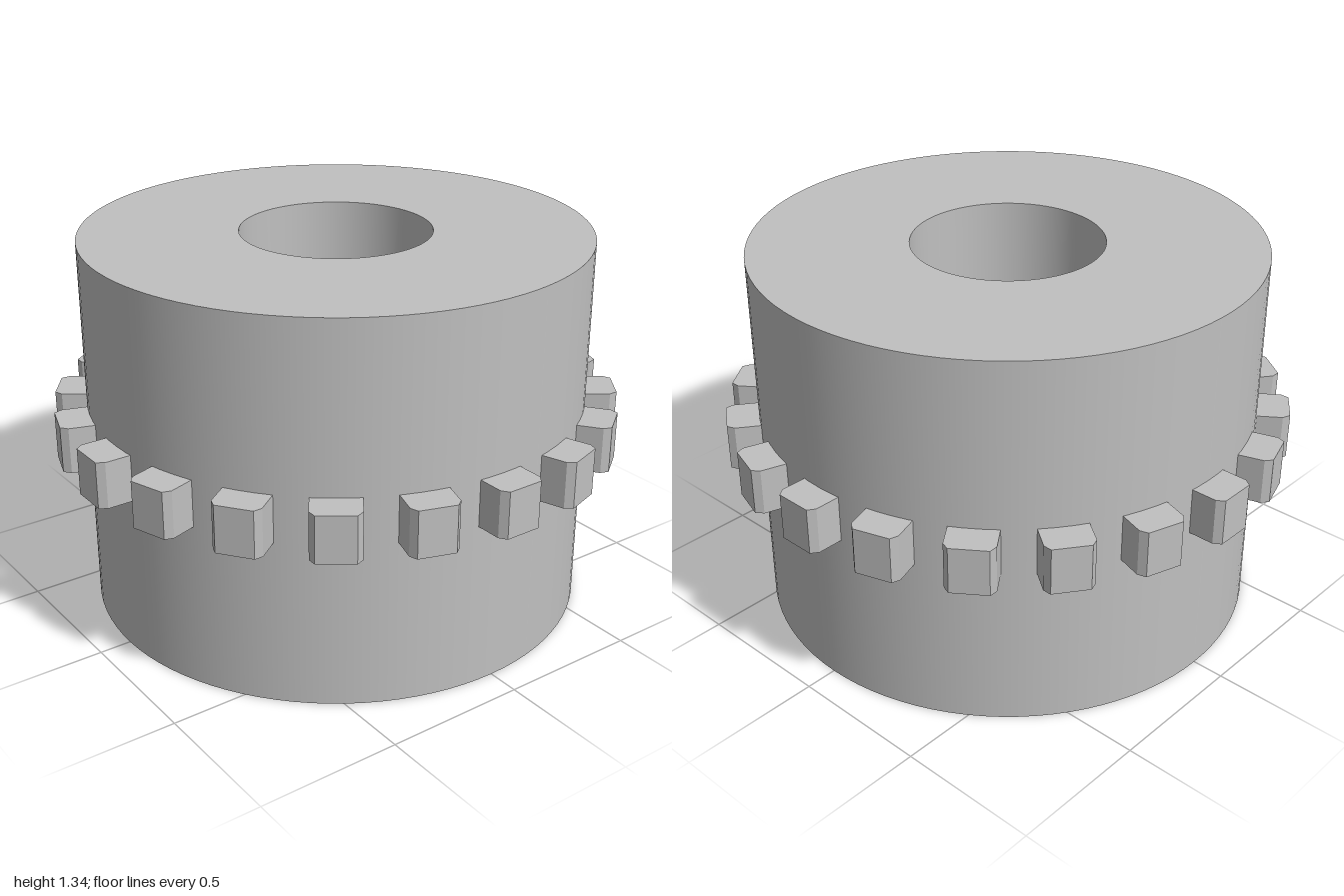
import * as THREE from 'three';
import { mergeGeometries } from 'three/addons/utils/BufferGeometryUtils.js';

const HEIGHT = 1.335, OUTER = 0.887, BORE = 0.335;
const TEETH = 20, TOOTH_BOTTOM = 0.585, TOOTH_HEIGHT = 0.166;

// Hollow drum: one smooth lathe per wall, so the rims stay sharp
function drumGeometry() {
  const profile = [[BORE, 0], [OUTER, 0], [OUTER, HEIGHT], [BORE, HEIGHT]]
    .map(([r, y]) => new THREE.Vector2(r, y));
  return mergeGeometries(profile.map((p, i) =>
    new THREE.LatheGeometry([p, profile[(i + 1) % profile.length]], 96)));
}

// Block tooth with chamfered outer corners, pointing along +z
function toothGeometry() {
  const w = 0.083, cx = 0.018, cz = 0.026, root = 0.86, tip = 1;
  const outline = [[-w, root], [w, root], [w, tip - cz], [w - cx, tip], [cx - w, tip], [-w, tip - cz]];
  const shape = new THREE.Shape(outline.map(([x, z]) => new THREE.Vector2(x, z)));
  const geometry = new THREE.ExtrudeGeometry(shape, { depth: TOOTH_HEIGHT, bevelEnabled: false });
  geometry.rotateX(Math.PI / 2);
  geometry.translate(0, TOOTH_BOTTOM + TOOTH_HEIGHT, 0);
  return geometry;
}

export function createModel() {
  const model = new THREE.Group();
  model.name = 'sprocketDrum';
  const metal = new THREE.MeshStandardMaterial({ color: 0xc0c0c0 });
  metal.name = 'lightGrey';

  const drum = new THREE.Mesh(drumGeometry(), metal);
  drum.name = 'drum';
  model.add(drum);

  // Ring of teeth around the middle
  const teeth = new THREE.Group();
  teeth.name = 'teeth';
  const geometry = toothGeometry();
  for (let i = 0; i < TEETH; i++) {
    const tooth = new THREE.Mesh(geometry, metal);
    tooth.name = `tooth${i + 1}`;
    tooth.rotation.y = (i / TEETH) * Math.PI * 2;
    teeth.add(tooth);
  }
  model.add(teeth);
  return model;
}
